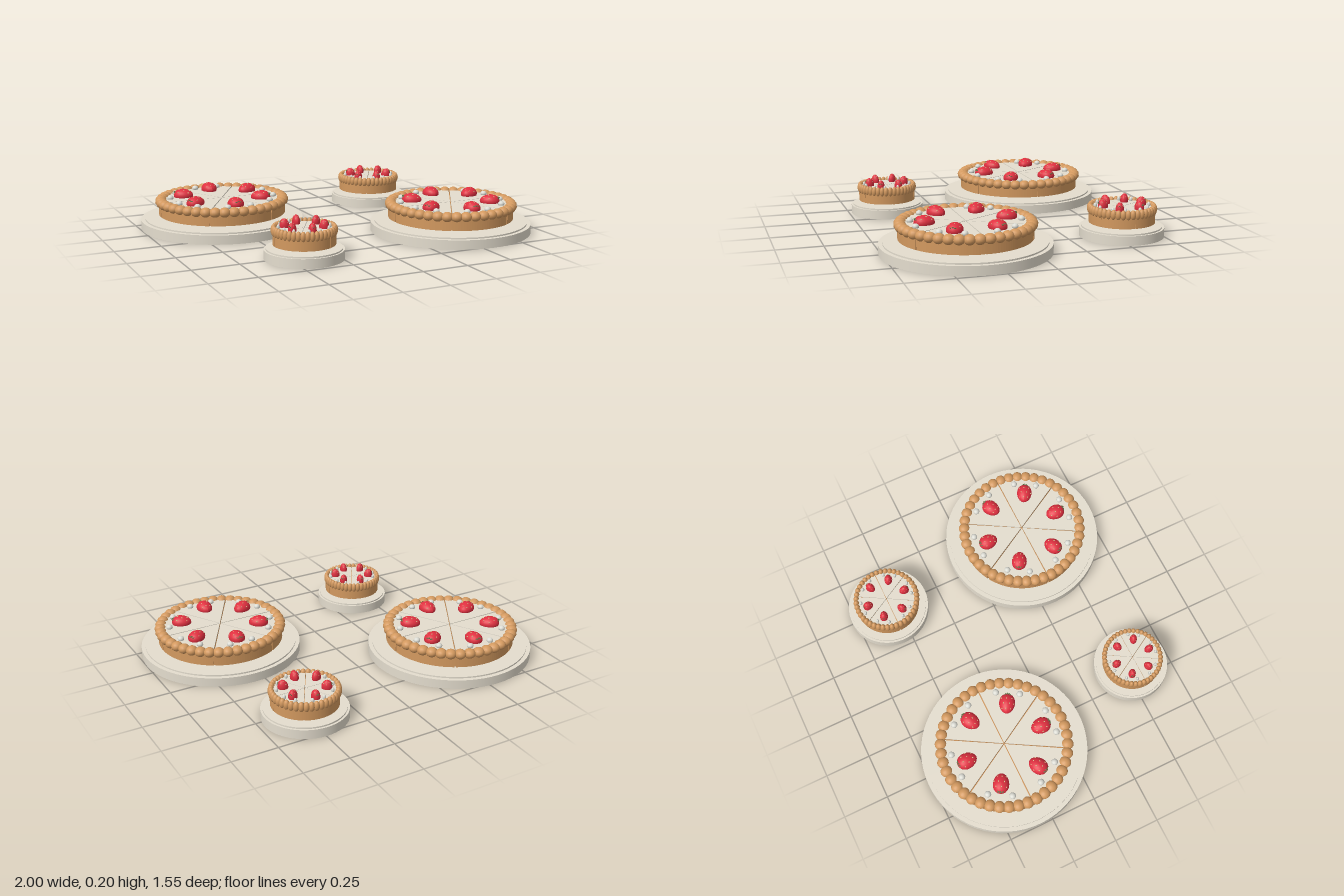
import * as THREE from 'three';

const mat = (name, color) => {
  const m = new THREE.MeshStandardMaterial({ color });
  m.name = name;
  return m;
};

const SLICES = 6;
const BEADS = 42;
const GAP = 0.011; // half angle of each cut

export function createModel() {
  const stone = mat('pale plate', 0xe4ddce);
  const cream = mat('cream filling', 0xe4ddce);
  const crust = mat('baked crust', 0xd3995f);
  const red = mat('berry red', 0xe03040);
  const seedTan = mat('seed tan', 0xe0c890);
  const leafGreen = mat('leaf green', 0x66784a);
  const pearlGrey = mat('pearl', 0xdcdcd4);

  // Plate: a low disc with a small raised step
  const plateGeo = new THREE.CylinderGeometry(1, 1, 0.05, 64).translate(0, 0.025, 0);
  const stepGeo = new THREE.CylinderGeometry(0.95, 0.95, 0.01, 64).translate(0, 0.053, 0);

  // Solid core that closes the bottom of the cuts
  const coreGeo = new THREE.CylinderGeometry(0.768, 0.768, 0.06, 64).translate(0, 0.106, 0);

  // One slice, a wedge centred on the +x direction, from y0 to y1
  const wedge = (radius, y0, y1) => {
    const half = Math.PI / SLICES - GAP;
    const shape = new THREE.Shape();
    shape.moveTo(0.01, 0);
    shape.lineTo(Math.cos(half) * radius, -Math.sin(half) * radius);
    shape.absarc(0, 0, radius, -half, half, false);
    shape.lineTo(0.01, 0);
    return new THREE.ExtrudeGeometry(shape, { depth: y1 - y0, bevelEnabled: false, curveSegments: 12 })
      .rotateX(-Math.PI / 2).translate(0, y0, 0);
  };
  const crustGeo = wedge(0.78, 0.075, 0.15);
  const creamGeo = wedge(0.73, 0.15, 0.157);

  const beadGeo = new THREE.SphereGeometry(1, 16, 10).scale(0.073, 0.027, 0.07);
  const pearlGeo = new THREE.SphereGeometry(1, 12, 8).scale(0.04, 0.015, 0.04);
  const seedGeo = new THREE.SphereGeometry(1, 6, 4).scale(0.011, 0.003, 0.007);
  const leafGeo = new THREE.SphereGeometry(1, 8, 4).scale(0.024, 0.003, 0.009);

  // Berry: an egg lying along x, narrowing toward the centre of the tart
  const taper = (x) => 1 + 0.1 * x;
  const berryGeo = new THREE.SphereGeometry(1, 20, 14);
  const p = berryGeo.attributes.position;
  for (let i = 0; i < p.count; i++) {
    const t = taper(p.getX(i));
    p.setXYZ(i, p.getX(i) * 0.122, p.getY(i) * t * 0.036, p.getZ(i) * t * 0.096);
  }
  berryGeo.computeVertexNormals();

  const add = (parent, name, geo, material, x = 0, y = 0, z = 0) => {
    const m = new THREE.Mesh(geo, material);
    m.name = name;
    m.position.set(x, y, z);
    parent.add(m);
    return m;
  };

  const makeTart = (name, x, z, radius) => {
    const tart = new THREE.Group();
    tart.name = name;
    tart.position.set(x, 0, z);
    tart.scale.set(radius, 1, radius);
    add(tart, 'plate', plateGeo, stone);
    add(tart, 'plateStep', stepGeo, stone);
    add(tart, 'crustCore', coreGeo, crust);

    for (let s = 0; s < SLICES; s++) {
      const slice = new THREE.Group();
      slice.name = 'slice';
      slice.rotation.y = ((s + 0.5) * Math.PI * 2) / SLICES;
      tart.add(slice);
      add(slice, 'crustWedge', crustGeo, crust);
      add(slice, 'creamWedge', creamGeo, cream);

      // Beaded rim
      const perSlice = BEADS / SLICES;
      for (let b = 0; b < perSlice; b++) {
        const a = ((b - (perSlice - 1) / 2) * Math.PI * 2) / BEADS;
        const bead = add(slice, 'rimBead', beadGeo, crust, Math.cos(a) * 0.75, 0.147, -Math.sin(a) * 0.75);
        bead.rotation.y = a;
      }

      // Berry with rows of seeds and a few leaves at the outer end
      const berry = new THREE.Group();
      berry.name = 'berry';
      berry.position.set(0.485, 0.166, 0);
      slice.add(berry);
      add(berry, 'berryBody', berryGeo, red);
      [-0.6, -0.1, 0.4].forEach((u, row) => {
        const ring = Math.sqrt(1 - u * u) * taper(u);
        for (let k = 0; k < 3; k++) {
          const a = (k - 1) * 0.75 + (row % 2 ? 0.3 : -0.1);
          add(berry, 'seed', seedGeo, seedTan, u * 0.122, Math.cos(a) * ring * 0.036, Math.sin(a) * ring * 0.096);
        }
      });
      for (let k = -1; k <= 1; k++) {
        const leaf = add(berry, 'leaf', leafGeo, leafGreen, 0.102, 0.021 - Math.abs(k) * 0.004, k * 0.028);
        leaf.rotation.y = k * 0.6;
      }

      // Pair of pearls beside the berry
      for (const side of [-1, 1]) {
        const a = side * 0.23;
        add(slice, 'pearl', pearlGeo, pearlGrey, Math.cos(a) * 0.635, 0.164, Math.sin(a) * 0.635);
      }
    }
    return tart;
  };

  const model = new THREE.Group();
  model.name = 'tarts';
  model.add(
    makeTart('largeTartBack', -0.547, -0.32, 0.453),
    makeTart('largeTartFront', 0.558, 0.329, 0.442),
    makeTart('smallTartBack', 0.496, -0.55, 0.226),
    makeTart('smallTartFront', -0.416, 0.53, 0.205)
  );
  return model;
}
